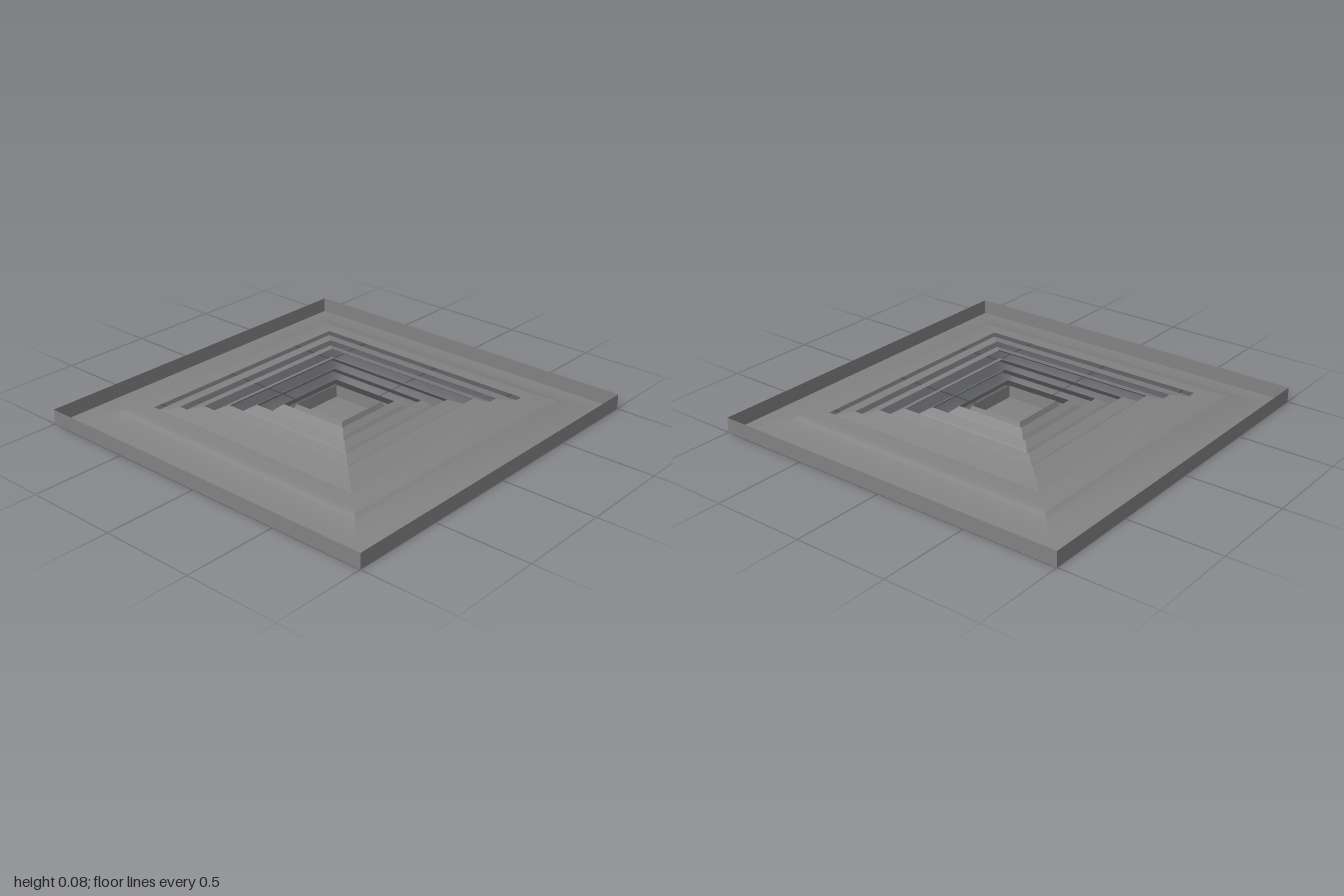
import * as THREE from 'three';
import { toCreasedNormals } from 'three/addons/utils/BufferGeometryUtils.js';

const material = new THREE.MeshStandardMaterial({ color: 0x828282, side: THREE.DoubleSide });

// Square sheet swept from a profile of [half side, height] pairs;
// edges bent by more than the crease angle stay sharp
function squareSheet(name, profile, crease) {
  const points = profile.map(([half, y]) => new THREE.Vector2(half * Math.SQRT2, y));
  const lathe = new THREE.LatheGeometry(points, 4, Math.PI / 4);
  const mesh = new THREE.Mesh(toCreasedNormals(lathe, crease), material);
  mesh.name = name;
  return mesh;
}

export function createModel() {
  const group = new THREE.Group();
  group.name = 'ceilingAirDiffuser';

  // Outer frame: upright rim, border curving up to a raised lip round the opening
  group.add(squareSheet('outerFrame', [
    [1, 0.08], [1, 0], [0.93, 0.006], [0.86, 0.024], [0.78, 0.052],
    [0.76, 0.066], [0.725, 0.073], [0.65, 0.078],
  ], 0.5));

  // Nested louvres, flaring downwards: top edge, bend and bottom edge
  const louvres = [
    [[0.195, 0.076], [0.225, 0.052], [0.27, 0]],
    [[0.29, 0.077], [0.33, 0.052], [0.386, 0]],
    [[0.385, 0.077], [0.44, 0.052], [0.49, 0]],
    [[0.475, 0.077], [0.55, 0.052], [0.595, 0.005]],
    [[0.56, 0.077], [0.65, 0.054], [0.7, 0.015]],
  ];
  louvres.forEach((profile, i) => group.add(squareSheet(`louvre${i + 1}`, profile, 0.05)));

  // Centre plate: sloping skirt, rim and a sunken, shallow pyramid floor
  group.add(squareSheet('centrePlate', [
    [0.182, 0], [0.15, 0.075], [0.147, 0.012], [0, 0.03],
  ], 0.5));

  return group;
}
